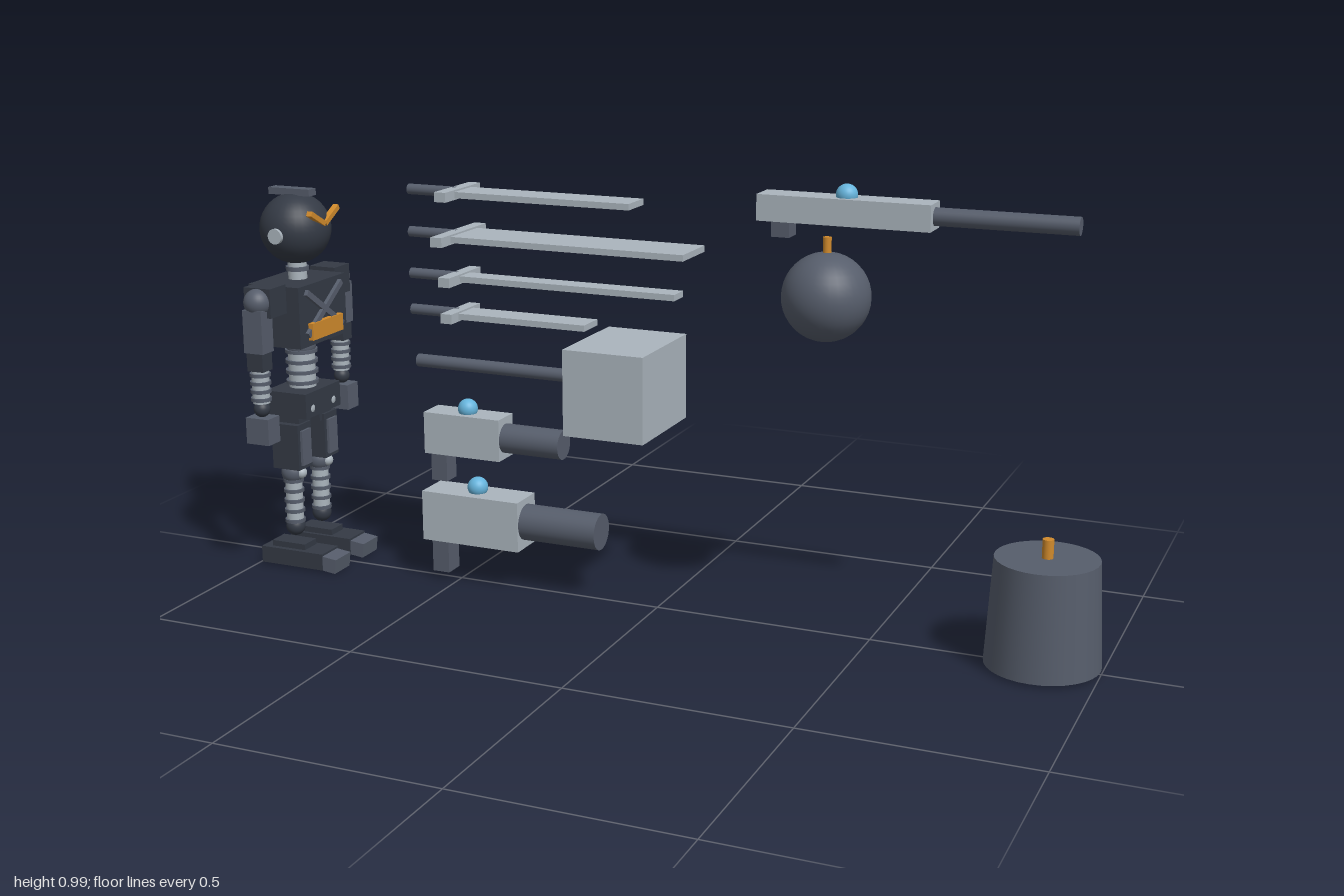
import * as THREE from 'three';

const mat = (color) => new THREE.MeshStandardMaterial({ color });
const dark = mat(0x343a45), mid = mat(0x565d6b), light = mat(0xabb5bd);
const blue = mat(0x66b4dc), orange = mat(0xd08a2c);

function add(parent, name, geometry, material, x, y, z) {
  const mesh = new THREE.Mesh(geometry, material);
  mesh.name = name;
  mesh.position.set(x, y, z);
  parent.add(mesh);
  return mesh;
}

// Box given by its x and y ranges, with depth d centred on z
function box(parent, name, material, x0, x1, y0, y1, d, z = 0) {
  return add(parent, name, new THREE.BoxGeometry(x1 - x0, y1 - y0, d), material, (x0 + x1) / 2, (y0 + y1) / 2, z);
}

function ball(parent, name, material, r, x, y, z = 0) {
  return add(parent, name, new THREE.SphereGeometry(r, 32, 20), material, x, y, z);
}

// Upright rod between two heights
function post(parent, name, material, r, x, y0, y1, z = 0, rTop = r) {
  return add(parent, name, new THREE.CylinderGeometry(rTop, r, y1 - y0, 32), material, x, (y0 + y1) / 2, z);
}

// Rod lying along x
function rod(parent, name, material, r, x0, x1, y) {
  const mesh = add(parent, name, new THREE.CylinderGeometry(r, r, x1 - x0, 28), material, (x0 + x1) / 2, y, 0);
  mesh.rotation.z = -Math.PI / 2;
  return mesh;
}

function group(parent, name) {
  const g = new THREE.Group();
  g.name = name;
  parent.add(g);
  return g;
}

// Limb core with evenly spaced rings
function ringedLimb(parent, name, r, y0, y1, z, count) {
  post(parent, name, light, r, 0, y0, y1, z);
  for (let i = 0; i < count; i++) {
    const y = y0 + (y1 - y0) * (i + 0.5) / count;
    post(parent, name + 'Ring', mid, r * 1.2, 0, y - 0.004, y + 0.004, z);
  }
}

function makeRobot(parent) {
  const robot = group(parent, 'robot');
  robot.position.x = -0.917;

  // Head, looking along +x
  ball(robot, 'head', dark, 0.083, 0, 0.81);
  box(robot, 'headCrest', mid, -0.06, 0.05, 0.888, 0.904, 0.03);
  for (const s of [1, -1]) {
    const ear = post(robot, 'ear', light, 0.018, 0, 0.795, 0.811, s * 0.081);
    ear.rotation.x = Math.PI / 2;
    const fin = box(robot, 'browFin', orange, 0.07, 0.084, 0.835, 0.847, 0.065, s * 0.03);
    fin.rotation.x = -s * 0.5;
  }
  post(robot, 'neck', light, 0.022, 0, 0.685, 0.74);
  post(robot, 'neckRing', mid, 0.027, 0, 0.71, 0.72);

  // Torso with crossed chest bars and a coloured lower plate
  box(robot, 'torso', dark, -0.07, 0.065, 0.545, 0.69, 0.2);
  for (const s of [1, -1]) {
    const bar = box(robot, 'chestBar', mid, 0.062, 0.074, 0.617, 0.631, 0.18);
    bar.rotation.x = s * 0.6;
  }
  box(robot, 'bellyPlate', orange, 0.06, 0.078, 0.56, 0.6, 0.13);
  ball(robot, 'waistJoint', mid, 0.035, 0, 0.53);
  ringedLimb(robot, 'waist', 0.032, 0.43, 0.53, 0, 4);
  box(robot, 'pelvis', dark, -0.055, 0.055, 0.37, 0.43, 0.15);

  for (const s of [1, -1]) {
    // Arm
    const arm = group(robot, s > 0 ? 'rightArm' : 'leftArm');
    box(arm, 'shoulderBlock', dark, -0.035, 0.035, 0.63, 0.698, 0.065, s * 0.138);
    ball(arm, 'shoulder', mid, 0.032, 0, 0.665, s * 0.169);
    box(arm, 'upperArm', mid, -0.025, 0.025, 0.55, 0.65, 0.045, s * 0.173);
    box(arm, 'elbow', dark, -0.021, 0.021, 0.507, 0.55, 0.039, s * 0.173);
    ringedLimb(arm, 'forearm', 0.02, 0.43, 0.507, s * 0.173, 4);
    ball(arm, 'wrist', dark, 0.019, 0, 0.415, s * 0.173);
    box(arm, 'hand', mid, -0.03, 0.03, 0.335, 0.397, 0.047, s * 0.173);

    // Leg
    const leg = group(robot, s > 0 ? 'rightLeg' : 'leftLeg');
    ball(leg, 'hip', light, 0.022, 0.035, 0.39, s * 0.045);
    box(leg, 'upperThigh', dark, -0.03, 0.03, 0.34, 0.42, 0.05, s * 0.045);
    box(leg, 'thigh', dark, -0.036, 0.036, 0.245, 0.355, 0.056, s * 0.058);
    box(leg, 'thighPlate', mid, 0.03, 0.042, 0.255, 0.34, 0.038, s * 0.058);
    ball(leg, 'knee', mid, 0.028, 0, 0.232, s * 0.058);
    ball(leg, 'kneeCap', light, 0.014, 0.022, 0.232, s * 0.058);
    ringedLimb(leg, 'shin', 0.02, 0.1, 0.225, s * 0.058, 5);
    ball(leg, 'ankle', dark, 0.023, 0, 0.097, s * 0.058);
    box(leg, 'ankleBlock', dark, -0.05, 0.04, 0.045, 0.062, 0.05, s * 0.06);
    box(leg, 'foot', dark, -0.073, 0.095, 0.008, 0.048, 0.07, s * 0.062);
    const toe = box(leg, 'toe', mid, 0.075, 0.13, 0.007, 0.042, 0.066, s * 0.063);
    toe.rotation.z = -0.12;
  }
}

function makeSword(parent, y, tip, width, guard) {
  const sword = group(parent, 'sword');
  rod(sword, 'swordGrip', mid, 0.012, -0.61, -0.49, y);
  box(sword, 'swordGuard', light, -0.5, -0.472, y - 0.011, y + 0.011, guard);
  box(sword, 'swordBlade', light, -0.475, tip, y - 0.007, y + 0.007, width);
}

// Gun: body range, barrel, grip range and sight
function makeGun(parent, name, g) {
  const gun = group(parent, name);
  box(gun, 'gunBody', light, ...g.body);
  rod(gun, 'gunBarrel', mid, ...g.barrel);
  box(gun, 'gunGrip', mid, ...g.grip);
  ball(gun, 'gunSight', blue, ...g.sight);
}

export function createModel() {
  const model = new THREE.Group();
  model.name = 'robotWithWeapons';
  makeRobot(model);

  // Height, tip, blade width, guard width
  for (const s of [
    [0.92, -0.05, 0.08, 0.164], [0.823, 0.085, 0.125, 0.21],
    [0.727, 0.05, 0.05, 0.15], [0.643, -0.16, 0.07, 0.136],
  ]) makeSword(model, ...s);

  const hammer = group(model, 'hammer');
  rod(hammer, 'hammerHandle', mid, 0.015, -0.598, -0.16, 0.523);
  box(hammer, 'hammerHead', light, -0.172, 0.018, 0.42, 0.614, 0.246);

  makeGun(model, 'smallGun', {
    body: [-0.57, -0.377, 0.312, 0.41, 0.07], barrel: [0.034, -0.385, -0.23, 0.36],
    grip: [-0.56, -0.52, 0.245, 0.315, 0.045], sight: [0.023, -0.473, 0.42],
  });
  makeGun(model, 'largeGun', {
    body: [-0.575, -0.328, 0.104, 0.222, 0.09], barrel: [0.042, -0.34, -0.138, 0.165],
    grip: [-0.562, -0.52, 0.022, 0.11, 0.05], sight: [0.024, -0.452, 0.234],
  });
  makeGun(model, 'rifle', {
    body: [0.238, 0.612, 0.91, 0.966, 0.068], barrel: [0.019, 0.6, 0.908, 0.938],
    grip: [0.267, 0.307, 0.876, 0.912, 0.045], sight: [0.023, 0.424, 0.971],
  });

  // Round and tapered charges with fuses
  const bomb = group(model, 'roundBomb');
  ball(bomb, 'bombShell', mid, 0.095, 0.384, 0.753);
  post(bomb, 'bombFuse', orange, 0.009, 0.384, 0.835, 0.88);
  const keg = group(model, 'keg');
  post(keg, 'kegBody', mid, 0.123, 0.876, 0.01, 0.243, 0, 0.11);
  post(keg, 'kegFuse', orange, 0.012, 0.876, 0.24, 0.284);
  return model;
}
